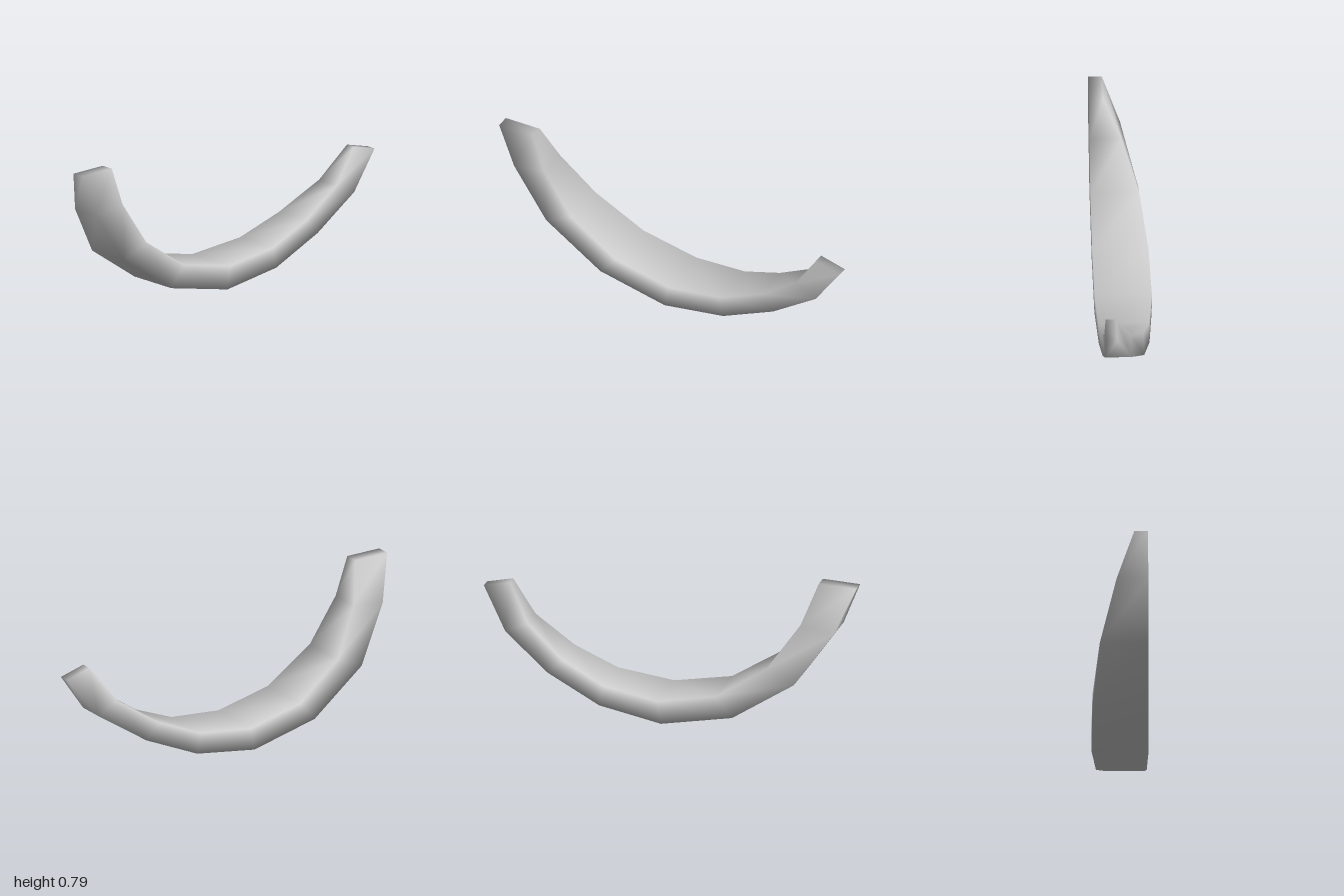
import * as THREE from 'three';

// Stations from front tip to back tip:
// outer z, outer y, inner z, inner y, right-hand x, left-hand x
const STATIONS = [
  [1.0, 0.785, 0.80, 0.79, 0.07, 0.14],
  [0.91, 0.56, 0.73, 0.587, -0.02, 0.143],
  [0.72, 0.285, 0.57, 0.355, -0.105, 0.145],
  [0.40, 0.078, 0.31, 0.185, -0.142, 0.146],
  [0.02, 0.0, 0.0, 0.122, -0.147, 0.147],
  [-0.32, 0.05, -0.30, 0.16, -0.122, 0.138],
  [-0.61, 0.18, -0.53, 0.26, -0.083, 0.13],
  [-0.86, 0.35, -0.74, 0.408, -0.01, 0.127],
  [-1.0, 0.555, -0.86, 0.59, 0.07, 0.125],
];

// Four-cornered rings joined into one smooth, closed, curved body
function crescentGeometry() {
  const positions = [];
  const index = [];
  for (const [oz, oy, iz, iy, x0, x1] of STATIONS) {
    positions.push(x0, oy, oz, x1, oy, oz, x1, iy, iz, x0, iy, iz);
  }
  for (let s = 0; s < STATIONS.length - 1; s++) {
    for (let k = 0; k < 4; k++) {
      const a = s * 4 + k;
      const b = s * 4 + (k + 1) % 4;
      index.push(a, a + 4, b, b, a + 4, b + 4);
    }
  }
  // End caps
  const e = (STATIONS.length - 1) * 4;
  index.push(0, 1, 2, 0, 2, 3);
  index.push(e, e + 2, e + 1, e, e + 3, e + 2);

  const geometry = new THREE.BufferGeometry();
  geometry.setAttribute('position', new THREE.Float32BufferAttribute(positions, 3));
  geometry.setIndex(index);
  geometry.computeVertexNormals();
  return geometry;
}

export function createModel() {
  const group = new THREE.Group();
  group.name = 'curvedCrescent';
  const grey = new THREE.MeshStandardMaterial({ color: 0xcccccc });
  grey.name = 'lightGrey';
  const body = new THREE.Mesh(crescentGeometry(), grey);
  body.name = 'crescentBody';
  group.add(body);
  return group;
}
